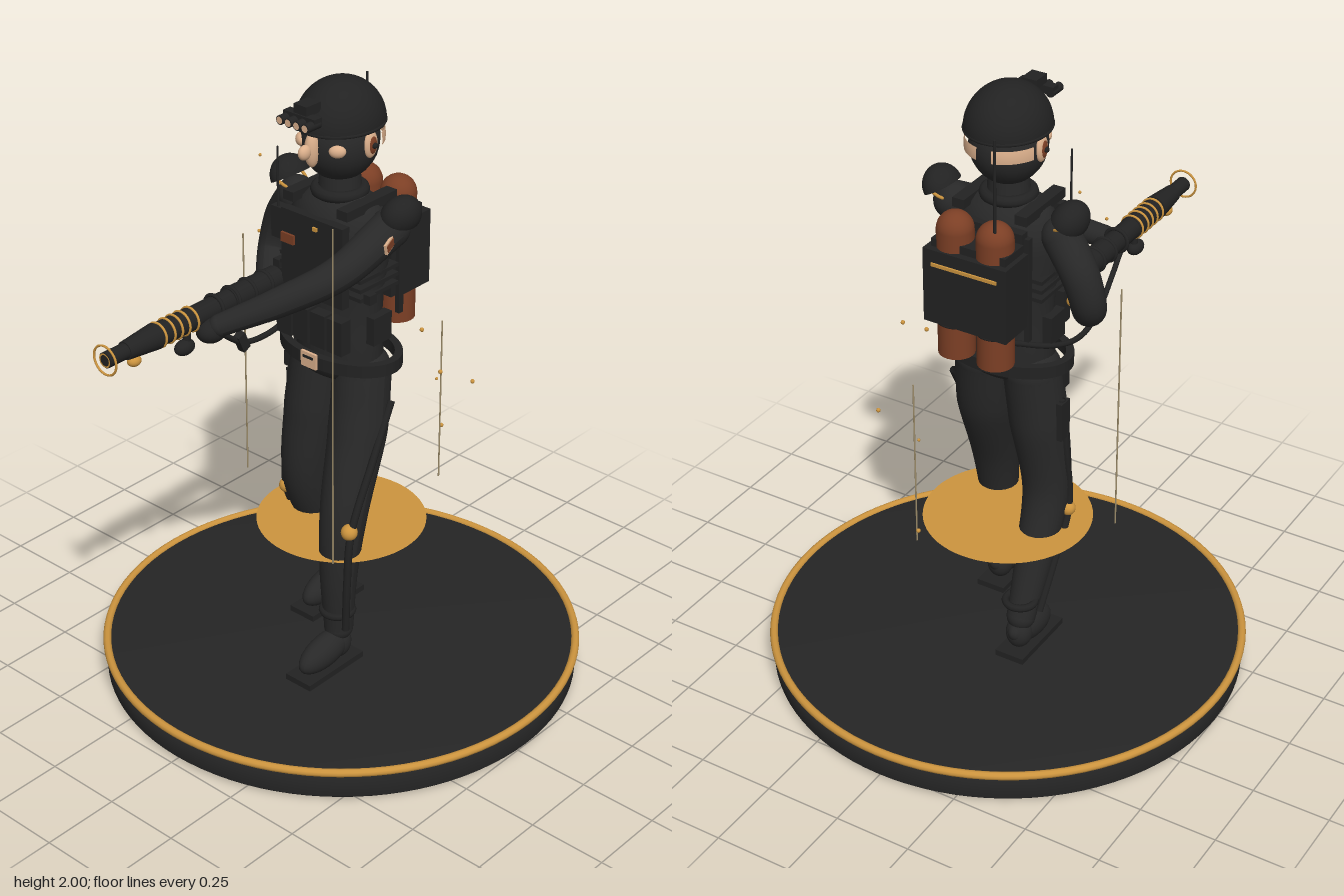
import * as THREE from 'three';

const mat = (name, color, side = THREE.FrontSide) => {
  const m = new THREE.MeshStandardMaterial({ color, side });
  m.name = name;
  return m;
};

export function createModel() {
  const model = new THREE.Group();
  model.name = 'figure';
  const cloth = mat('dark cloth', 0x282828);
  const gear = mat('dark gear', 0x222222, THREE.DoubleSide);
  const stand = mat('stand dark', 0x252525);
  const amber = mat('amber', 0xcc943e, THREE.DoubleSide);
  const rust = mat('rust', 0x7c3f25);
  const skin = mat('skin', 0xdcb08c, THREE.DoubleSide);
  const haze = mat('pale bronze', 0x9a8a68);

  const V = (p) => new THREE.Vector3(...p);
  const add = (name, geo, material, pos = [0, 0, 0], rot = [0, 0, 0], scale = [1, 1, 1]) => {
    const m = new THREE.Mesh(geo, material);
    m.name = name;
    m.position.set(...pos);
    m.rotation.set(...rot);
    m.scale.set(...scale);
    model.add(m);
    return m;
  };
  const box = (name, size, material, pos, rot) => add(name, new THREE.BoxGeometry(...size), material, pos, rot);
  const ball = (name, r, material, pos, scale, rot) => add(name, new THREE.SphereGeometry(r, 24, 16), material, pos, rot, scale);
  const cyl = (name, r1, r2, h, material, pos, rot) => add(name, new THREE.CylinderGeometry(r1, r2, h, 24), material, pos, rot);
  const tube = (name, pts, r, material) =>
    add(name, new THREE.TubeGeometry(new THREE.CatmullRomCurve3(pts.map(V)), 32, r, 8), material);

  // Tapered limb: a tube whose rings are scaled along the path, with rounded ends
  const limb = (name, pts, radii, material) => {
    const curve = new THREE.CatmullRomCurve3(pts.map(V));
    const seg = 32, sides = 20;
    const geo = new THREE.TubeGeometry(curve, seg, 1, sides);
    const pos = geo.attributes.position, v = new THREE.Vector3();
    for (let i = 0; i <= seg; i++) {
      const c = curve.getPointAt(i / seg);
      const t = curve.getUtoTmapping(i / seg) * (radii.length - 1);
      const k = Math.min(Math.floor(t), radii.length - 2);
      const r = THREE.MathUtils.lerp(radii[k], radii[k + 1], t - k);
      for (let j = 0; j <= sides; j++) {
        const n = i * (sides + 1) + j;
        v.fromBufferAttribute(pos, n).sub(c).multiplyScalar(r).add(c);
        pos.setXYZ(n, v.x, v.y, v.z);
      }
    }
    geo.computeVertexNormals();
    add(name, geo, material);
    ball(name + 'Start', radii[0], material, pts[0]);
    ball(name + 'End', radii[radii.length - 1], material, pts[pts.length - 1]);
  };

  // Round stand with amber rim and hovering disc
  const baseProfile = [[0, 0], [0.745, 0], [0.757, 0.012], [0.757, 0.1], [0, 0.1]].map((p) => new THREE.Vector2(...p));
  add('stand', new THREE.LatheGeometry(baseProfile, 96), stand, [0, 0, -0.028]);
  add('standRim', new THREE.TorusGeometry(0.755, 0.013, 10, 96), amber, [0, 0.098, -0.028], [Math.PI / 2, 0, 0]);
  add('hoverDisc', new THREE.CircleGeometry(0.268, 64), amber, [0, 0.52, -0.028], [-Math.PI / 2, 0, 0]);

  // Legs: left one steps forward, right one trails
  limb('leftLeg', [[0.085, 1.08, -0.025], [0.1, 0.9, 0.01], [0.12, 0.65, 0.095], [0.125, 0.45, 0.125], [0.125, 0.24, 0.125]],
    [0.09, 0.092, 0.075, 0.06, 0.046], cloth);
  limb('rightLeg', [[-0.085, 1.08, -0.025], [-0.1, 0.9, -0.01], [-0.12, 0.65, 0.005], [-0.122, 0.45, -0.06], [-0.12, 0.24, -0.145]],
    [0.09, 0.092, 0.075, 0.062, 0.046], cloth);
  for (const [side, x, z, cuffZ] of [['left', 0.125, 0.19, 0.13], ['right', -0.12, -0.095, -0.15]]) {
    box(side + 'Sole', [0.1, 0.02, 0.25], gear, [x, 0.122, z]);
    ball(side + 'Boot', 0.11, cloth, [x, 0.18, z], [0.42, 0.48, 1.02], [0.18, 0, 0]);
    ball(side + 'Heel', 0.05, cloth, [x, 0.185, z - 0.06], [0.85, 1.1, 0.9]);
    add(side + 'Cuff', new THREE.TorusGeometry(0.047, 0.012, 8, 24), gear, [x, 0.305, cuffZ], [Math.PI / 2, 0, 0]);
  }

  // Leg braces with amber knee joints
  tube('leftBrace', [[0.185, 1, -0.045], [0.197, 0.84, 0.05], [0.197, 0.62, 0.15], [0.195, 0.45, 0.165], [0.185, 0.27, 0.16]], 0.012, gear);
  tube('rightBrace', [[-0.185, 1, -0.02], [-0.192, 0.8, 0], [-0.192, 0.58, 0.02], [-0.185, 0.42, -0.05], [-0.178, 0.27, -0.13]], 0.012, gear);
  ball('leftKneeJoint', 0.026, amber, [0.19, 0.625, 0.15]);
  ball('rightKneeJoint', 0.024, amber, [-0.19, 0.58, 0.02]);
  box('legCase', [0.02, 0.13, 0.05], gear, [-0.19, 0.93, -0.02]);
  box('legCaseGrip', [0.03, 0.05, 0.03], gear, [-0.165, 1.05, 0.02]);
  add('thighBlade', new THREE.ConeGeometry(0.022, 0.16, 8), gear, [-0.15, 0.81, -0.045], [Math.PI, 0, 0]);

  // Torso, vest and neck
  const torso = [[0, 1.06], [0.13, 1.07], [0.152, 1.12], [0.14, 1.22], [0.15, 1.36], [0.17, 1.5], [0.165, 1.57], [0.13, 1.63], [0.07, 1.66], [0, 1.67]];
  add('torso', new THREE.LatheGeometry(torso.map((p) => new THREE.Vector2(...p)), 40), cloth, [0, 0, -0.02], [0, 0, 0], [1, 1, 0.7]);
  box('chestPlate', [0.24, 0.26, 0.03], gear, [0, 1.47, 0.09]);
  box('backPlate', [0.24, 0.3, 0.03], gear, [0, 1.45, -0.13]);
  for (const y of [1.37, 1.4, 1.43]) box('vestStrap', [0.32, 0.012, 0.17], gear, [0, y, -0.015]);
  for (let i = 0; i < 4; i++) box('pouch', [0.058, 0.11, 0.04], gear, [-0.1 + i * 0.067, 1.25, 0.1]);
  for (const s of [-1, 1]) {
    box('shoulderStrap', [0.04, 0.03, 0.22], gear, [s * 0.105, 1.635, -0.02]);
    box('sidePouch', [0.03, 0.09, 0.08], gear, [s * 0.155, 1.25, -0.02]);
    box('sideClip', [0.025, 0.03, 0.03], gear, [s * 0.18, 1.38, 0.05]);
  }
  box('chestPatch', [0.05, 0.03, 0.008], rust, [-0.09, 1.51, 0.11]);
  box('chestRadio', [0.045, 0.1, 0.035], gear, [-0.145, 1.54, 0.08]);
  box('chestStud', [0.016, 0.012, 0.008], amber, [0.015, 1.57, 0.107]);
  cyl('neck', 0.058, 0.07, 0.14, cloth, [0, 1.67, -0.02]);
  add('collar', new THREE.TorusGeometry(0.07, 0.018, 10, 32), gear, [0, 1.655, -0.02], [Math.PI / 2, 0, 0]);

  // Belt ring with buckle
  const ring = new THREE.Shape();
  ring.absellipse(0, 0, 0.215, 0.14, 0, Math.PI * 2);
  const hole = new THREE.Path();
  hole.absellipse(0, 0, 0.19, 0.115, 0, Math.PI * 2);
  ring.holes.push(hole);
  add('belt', new THREE.ExtrudeGeometry(ring, { depth: 0.04, bevelEnabled: false, curveSegments: 40 }), gear, [0, 1.155, -0.025], [Math.PI / 2, 0, 0]);
  box('buckle', [0.06, 0.05, 0.009], skin, [0, 1.14, 0.118]);
  box('buckleBar', [0.04, 0.008, 0.01], gear, [0, 1.15, 0.12]);

  // Head, face and helmet
  ball('head', 0.125, cloth, [0, 1.815, -0.02], [0.92, 1, 0.96]);
  add('helmet', new THREE.SphereGeometry(0.133, 40, 16, 0, Math.PI * 2, 0, Math.PI / 2), gear, [0, 1.867, -0.022], [0, 0, 0], [0.95, 1, 1.07]);
  add('helmetBrim', new THREE.TorusGeometry(0.127, 0.006, 8, 40), gear, [0, 1.868, -0.022], [Math.PI / 2, 0, 0], [0.97, 1.08, 1]);
  ball('nose', 0.05, skin, [0, 1.815, 0.1], [0.42, 1.1, 0.5]);
  ball('noseTip', 0.023, skin, [0, 1.815, 0.132], [0.7, 1, 1]);
  for (const s of [-1, 1]) {
    ball('cheek', 0.028, skin, [s * 0.07, 1.818, 0.07], [0.9, 0.7, 0.6], [0, s * 0.7, 0]);
    ball('ear', 0.038, skin, [s * 0.112, 1.823, -0.025], [0.35, 1.1, 0.7]);
    ball('innerEar', 0.026, rust, [s * 0.119, 1.823, -0.025], [0.35, 1.1, 0.65]);
    ball('earPlug', 0.009, gear, [s * 0.128, 1.823, -0.025]);
    // Bare skin below the helmet, behind each ear
    add('napeSkin', new THREE.SphereGeometry(0.132, 16, 6, Math.PI / 2 + s * 0.7 - 0.5, 1, 1.37, 0.3), skin, [0, 1.82, -0.022], [0, Math.PI, 0], [0.94, 1, 1.05]);
  }
  box('goggleMount', [0.05, 0.03, 0.06], gear, [0, 1.95, 0.12]);
  box('goggleBridge', [0.12, 0.025, 0.03], gear, [0, 1.925, 0.14]);
  for (const x of [-0.048, -0.016, 0.016, 0.048]) {
    cyl('goggleTube', 0.014, 0.014, 0.055, gear, [x, 1.917, 0.155], [Math.PI / 2, 0, 0]);
    add('goggleLens', new THREE.CircleGeometry(0.011, 16), skin, [x, 1.917, 0.184]);
  }

  // Arms, both reaching for the launcher
  limb('leftArm', [[0.185, 1.58, -0.03], [0.145, 1.485, 0.15], [0.04, 1.41, 0.28], [-0.09, 1.335, 0.4]], [0.06, 0.052, 0.045, 0.034], cloth);
  limb('rightArm', [[-0.19, 1.57, -0.04], [-0.265, 1.47, -0.06], [-0.285, 1.36, -0.04], [-0.22, 1.305, 0.05], [-0.165, 1.29, 0.12]], [0.06, 0.057, 0.052, 0.045, 0.034], cloth);
  ball('leftGlove', 0.042, gear, [-0.115, 1.315, 0.41], [1, 0.9, 1.2]);
  ball('rightGlove', 0.042, gear, [-0.16, 1.285, 0.14], [0.9, 1, 1.1]);
  for (const s of [-1, 1]) {
    const rot = [0, 0, -s * 0.5];
    add('shoulderPad', new THREE.SphereGeometry(0.06, 24, 10, 0, Math.PI * 2, 0, Math.PI / 2), gear, [s * 0.215, 1.625, -0.04], rot, [0.9, 1.1, 1.15]);
    add('shoulderTrim', new THREE.TorusGeometry(0.05, 0.005, 6, 24), amber, [s * 0.213, 1.62, -0.04], [Math.PI / 2, s * 0.5, 0]);
  }
  box('armPatchEdge', [0.008, 0.032, 0.062], skin, [0.235, 1.565, 0.03], [0.2, 0.3, 0]);
  box('armPatch', [0.009, 0.022, 0.052], rust, [0.237, 1.565, 0.03], [0.2, 0.3, 0]);

  // Launcher along z, built from back to muzzle
  const gx = -0.152, gy = 1.357, along = [Math.PI / 2, 0, 0];
  const gunParts = [[0.1, 0.3, 0.038, 0.038], [0.3, 0.45, 0.034, 0.034], [0.45, 0.6, 0.036, 0.036], [0.6, 0.72, 0.04, 0.028], [0.72, 0.795, 0.024, 0.024]];
  for (const [z0, z1, r0, r1] of gunParts) cyl('launcherTube', r1, r0, z1 - z0, gear, [gx, gy, (z0 + z1) / 2], along);
  for (const z of [0.46, 0.495, 0.525, 0.555, 0.59])
    add('launcherRing', new THREE.TorusGeometry(0.037, 0.004, 8, 24), amber, [gx, gy, z]);
  for (const z of [0.15, 0.22, 0.29, 0.36])
    add('launcherBand', new THREE.TorusGeometry(0.038, 0.006, 8, 24), gear, [gx, gy, z]);
  add('muzzleRing', new THREE.TorusGeometry(0.045, 0.0035, 8, 32), amber, [gx, gy, 0.795]);
  add('muzzleInner', new THREE.RingGeometry(0.017, 0.022, 24), amber, [gx, gy, 0.797]);
  ball('pilotBulb', 0.019, amber, [gx, 1.312, 0.685], [1, 0.9, 1.2]);
  ball('foregrip', 0.03, gear, [gx, 1.275, 0.485], [0.8, 0.8, 1.2]);
  cyl('foregripStem', 0.012, 0.012, 0.07, gear, [gx, 1.305, 0.475]);
  box('triggerGrip', [0.03, 0.1, 0.035], gear, [gx, 1.28, 0.14], [0.3, 0, 0]);
  ball('valve', 0.018, amber, [gx, 1.275, 0.095]);
  tube('hose', [[gx, 1.32, 0.4], [-0.16, 1.25, 0.32], [-0.17, 1.18, 0.22], [-0.18, 1.16, 0.1], [-0.17, 1.2, -0.05], [-0.1, 1.25, -0.17]], 0.009, gear);
  box('hoseClamp', [0.025, 0.06, 0.03], gear, [-0.165, 1.19, 0.235], [0.4, 0, 0]);

  // Backpack with two fuel tanks and aerials
  box('packBody', [0.28, 0.24, 0.125], gear, [0, 1.425, -0.205]);
  box('packLid', [0.25, 0.03, 0.1], gear, [0, 1.555, -0.195]);
  box('packTrim', [0.22, 0.01, 0.008], amber, [0, 1.5, -0.269]);
  for (const s of [-1, 1]) {
    cyl('tank', 0.056, 0.056, 0.41, rust, [s * 0.067, 1.395, -0.205]);
    ball('tankDome', 0.056, rust, [s * 0.067, 1.6, -0.205]);
    add('tankBand', new THREE.TorusGeometry(0.056, 0.005, 8, 28), gear, [s * 0.067, 1.3, -0.205], [Math.PI / 2, 0, 0]);
    box('packRail', [0.015, 0.34, 0.02], gear, [s * 0.135, 1.42, -0.135]);
  }
  cyl('tallAerial', 0.004, 0.005, 0.38, gear, [-0.085, 1.74, -0.235]);
  cyl('chestAerial', 0.003, 0.004, 0.22, gear, [-0.145, 1.67, 0.09]);

  // Floating light streaks: x, z, bottom, top
  for (const [x, z, y0, y1] of [[-0.355, 0.025, 0.58, 1.41], [0.222, 0.26, 0.58, 1.69], [0.125, -0.355, 0.57, 1.13]])
    cyl('lightStreak', 0.0025, 0.0025, y1 - y0, haze, [x, (y0 + y1) / 2, z]);

  // Drifting sparks
  const sparks = [[0.34, 1.14, -0.085], [0.27, 0.98, -0.33], [0.055, 0.69, -0.45], [0.2, 1.2, -0.165], [-0.33, 1.66, -0.03], [-0.1, 1.57, 0.22], [0.12, 0.93, -0.34]];
  sparks.forEach((p, i) => add('spark', new THREE.SphereGeometry(i < 4 ? 0.007 : 0.005, 8, 6), amber, p));

  return model;
}
